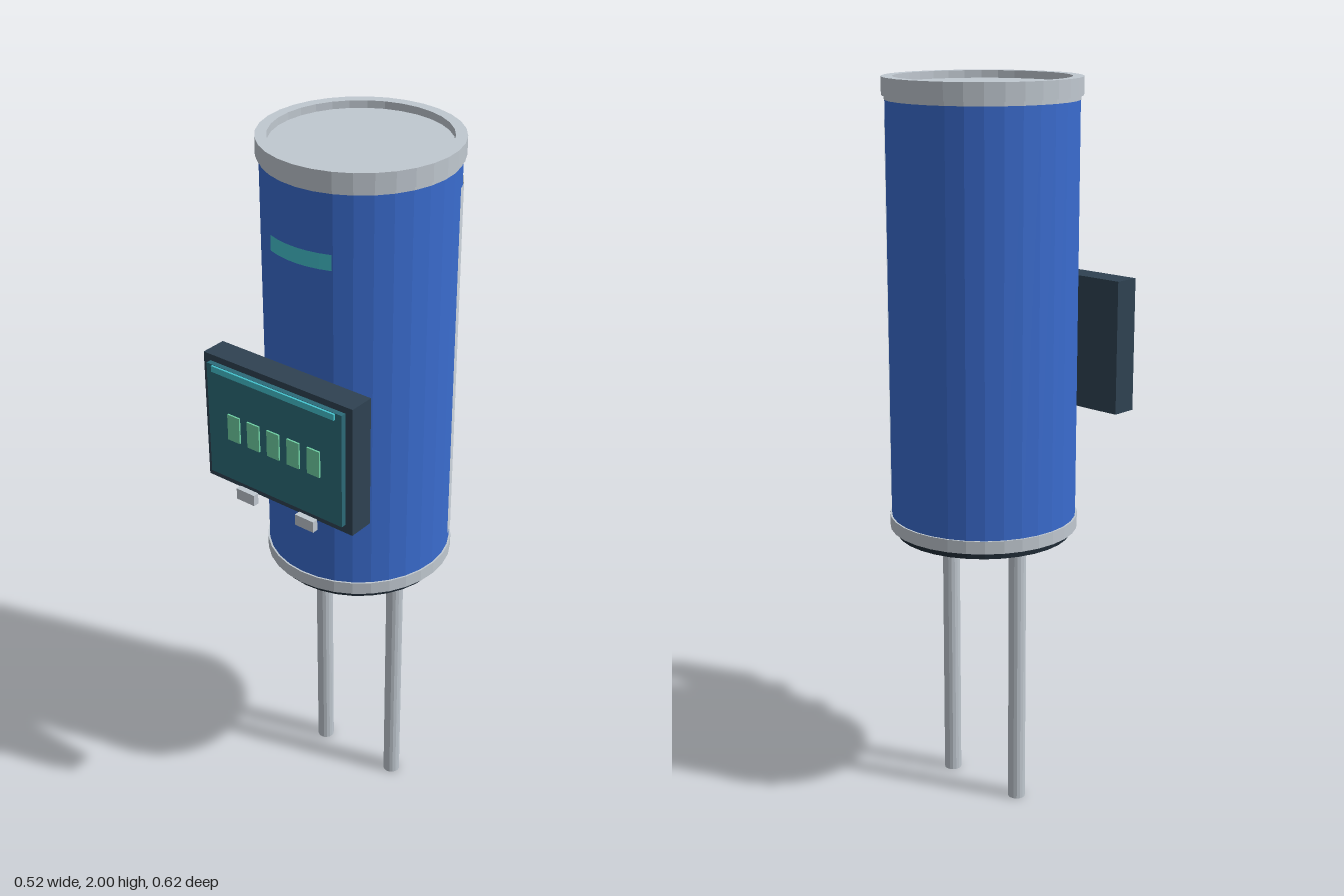
import * as THREE from 'three';

const AXIS_Z = -0.052; // the can stands slightly behind the origin
const SIDES = 32;

function material(name, color) {
  const m = new THREE.MeshStandardMaterial({ color });
  m.name = name;
  return m;
}

// Split the faces so that every facet is flat
function faceted(geometry) {
  const g = geometry.toNonIndexed();
  g.computeVertexNormals();
  return g;
}

export function createModel() {
  const blue = material('blue sleeve', 0x3a6ccf);
  const metal = material('light metal', 0xc0c8d0);
  const pale = material('pale stripe', 0xced6de);
  const slate = material('dark slate', 0x2f4252);
  const black = material('dark base', 0x1f2b36);
  const teal = material('teal screen', 0x2c6b78);
  const cyan = material('cyan accent', 0x44c2ce);
  const green = material('green digit', 0x6fd0a4);
  cyan.side = pale.side = THREE.DoubleSide;

  const model = new THREE.Group();
  model.name = 'canWithDisplay';

  function add(parent, name, geometry, mat, x = 0, y = 0, z = 0) {
    const mesh = new THREE.Mesh(geometry, mat);
    mesh.name = name;
    mesh.position.set(x, y, z);
    parent.add(mesh);
    return mesh;
  }
  const cylinder = (parent, name, r, y0, y1, mat, x = 0, sides = SIDES) =>
    add(parent, name, faceted(new THREE.CylinderGeometry(r, r, y1 - y0, sides)), mat, x, (y0 + y1) / 2);
  const box = (parent, name, x, w, y0, y1, z0, z1, mat) =>
    add(parent, name, new THREE.BoxGeometry(w, y1 - y0, z1 - z0), mat, x, (y0 + y1) / 2, (z0 + z1) / 2);
  // Thin curved label wrapped around the can
  const label = (parent, name, y0, y1, start, length, mat) =>
    add(parent, name, faceted(new THREE.CylinderGeometry(0.256, 0.256, y1 - y0, 6, 1, true, start, length)),
      mat, 0, (y0 + y1) / 2);

  // Can
  const can = new THREE.Group();
  can.name = 'can';
  can.position.z = AXIS_Z;
  model.add(can);
  cylinder(can, 'sleeve', 0.253, 0.82, 1.945, blue);
  cylinder(can, 'bottomRing', 0.258, 0.79, 0.825, metal);
  cylinder(can, 'base', 0.24, 0.77, 0.792, black);

  // Lid with a raised rim around a sunken disc
  const lidProfile = [
    [0, 1.942], [0.255, 1.942], [0.255, 1.953], [0.2615, 1.953],
    [0.2615, 2], [0.232, 2], [0.232, 1.98], [0, 1.98],
  ].map(([r, y]) => new THREE.Vector2(r, y));
  add(can, 'lid', faceted(new THREE.LatheGeometry(lidProfile, SIDES)), metal);

  // Labels: two on the front, one long stripe on the left side toward the back
  label(can, 'upperLabel', 1.745, 1.787, -0.385, 0.77, cyan);
  label(can, 'lowerLabel', 1.02, 1.065, -0.385, 0.77, cyan);
  label(can, 'sideStripe', 0.865, 1.887, 1.93, 0.36, pale);

  // Two lead legs with collars
  for (const x of [-0.128, 0.128]) {
    cylinder(can, 'legCollar', 0.041, 0.75, 0.772, metal, x, 16);
    cylinder(can, 'leg', 0.024, 0, 0.76, metal, x, 16);
  }

  // Display in front of the can
  const display = new THREE.Group();
  display.name = 'display';
  model.add(display);
  box(display, 'displayCase', 0, 0.484, 1.092, 1.46, 0.217, 0.29, slate);
  box(display, 'screen', 0, 0.44, 1.117, 1.442, 0.29, 0.305, teal);
  box(display, 'screenBar', 0, 0.4, 1.424, 1.441, 0.304, 0.311, cyan);
  for (let i = -2; i <= 2; i++) {
    box(display, 'digit', i * 0.066, 0.04, 1.24, 1.315, 0.304, 0.31, green);
  }
  for (const x of [-0.1, 0.1]) {
    box(display, 'button', x, 0.06, 1.065, 1.097, 0.293, 0.31, metal);
  }
  return model;
}
